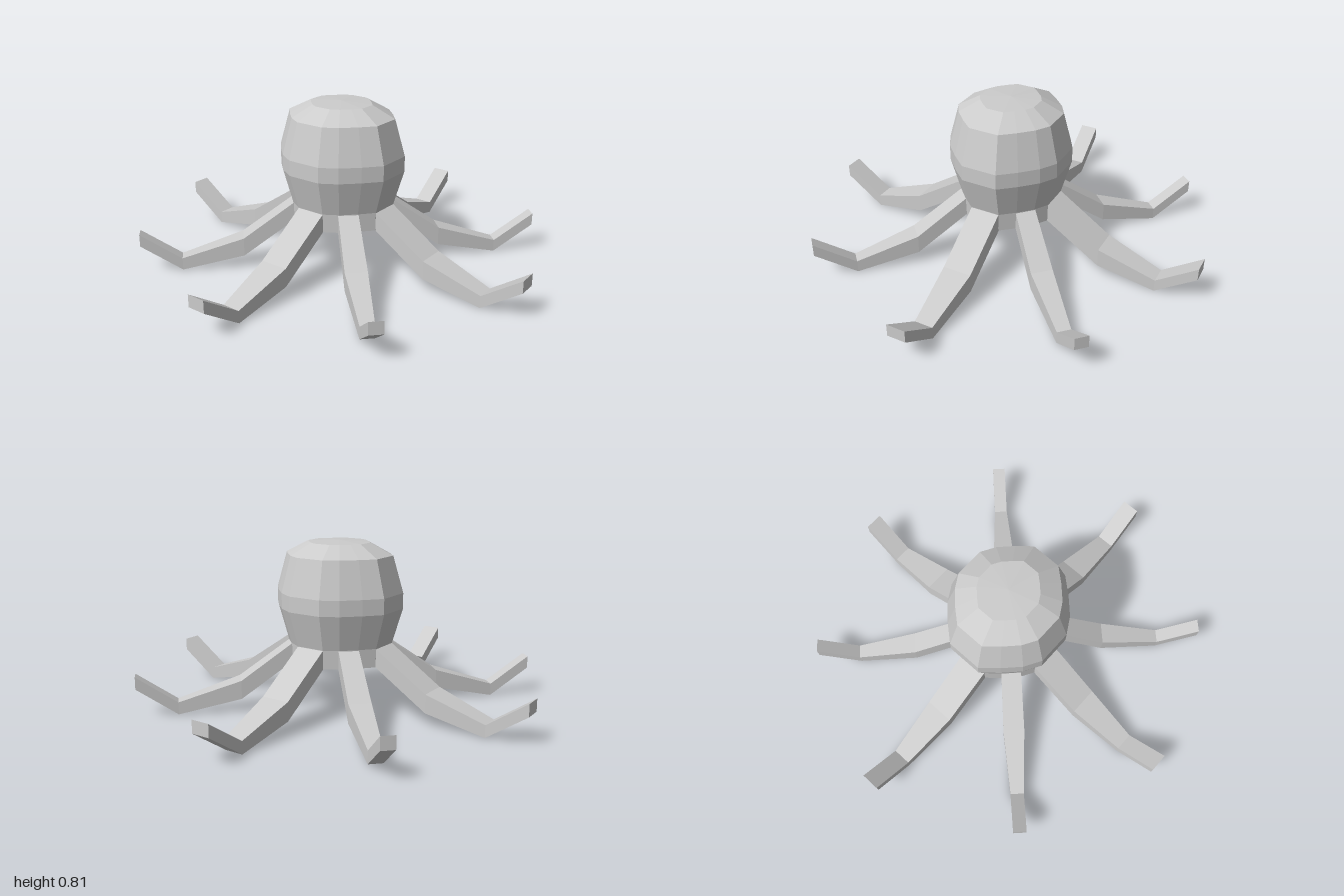
import * as THREE from 'three';

const material = new THREE.MeshStandardMaterial({ color: 0xcccccc, flatShading: true });

// Skin a stack of equal-length loops; each end closes on a centre point.
function loft(loops, startCentre, endCentre) {
  const n = loops[0].length;
  const pos = [...loops.flat(), startCentre, endCentre].flat();
  const start = loops.length * n, end = start + 1, last = start - n;
  const index = [];
  for (let j = 0; j < n; j++) {
    const k = (j + 1) % n;
    for (let i = 0; i < loops.length - 1; i++) {
      const a = i * n + j, b = i * n + k;
      index.push(a, b, b + n, a, b + n, a + n);
    }
    index.push(start, k, j, end, last + j, last + k);
  }
  const indexed = new THREE.BufferGeometry();
  indexed.setAttribute('position', new THREE.Float32BufferAttribute(pos, 3));
  indexed.setIndex(index);
  const geometry = indexed.toNonIndexed();
  geometry.computeVertexNormals();
  return geometry;
}

// Sixteen-sided head outline, from one quarter mirrored around (x, z).
function headOutline() {
  const quarter = [[0.087, 0.307], [0.165, 0.24], [0.238, 0.165], [0.285, 0.085]];
  const flipped = [...quarter].reverse();
  return [
    ...quarter,
    ...flipped.map(([x, z]) => [x, -z]),
    ...quarter.map(([x, z]) => [-x, -z]),
    ...flipped.map(([x, z]) => [-x, z]),
  ];
}

function makeHead() {
  const outline = headOutline();
  // [height, scale of the outline]
  const levels = [[0.24, 0.83], [0.33, 0.84], [0.5, 1], [0.575, 1], [0.75, 0.84], [0.807, 0.49]];
  const loops = levels.map(([y, s]) => outline.map(([x, z]) => [x * s, y, z * s]));
  const head = new THREE.Mesh(loft(loops, [0, 0.28, 0], [0, 0.815, 0]), material);
  head.name = 'head';
  return head;
}

// A tentacle points along +z; each section is [reach, top, bottom, half width].
function makeTentacle(sections) {
  const loops = sections.map(([r, top, bottom, w]) => [
    [w, bottom, r], [w, top, r], [-w, top, r], [-w, bottom, r],
  ]);
  const centre = ([r, top, bottom]) => [0, (top + bottom) / 2, r];
  return loft(loops, centre(sections[0]), centre(sections[sections.length - 1]));
}

export function createModel() {
  const model = new THREE.Group();
  model.name = 'octopus';
  model.add(makeHead());

  const frontBack = makeTentacle([
    [0.255, 0.33, 0.24, 0.072], [0.52, 0.155, 0.065, 0.07],
    [0.805, 0.06, 0, 0.045], [1, 0.195, 0.135, 0.045],
  ]);
  const side = makeTentacle([
    [0.237, 0.33, 0.24, 0.072], [0.505, 0.155, 0.065, 0.07],
    [0.785, 0.06, 0, 0.045], [0.98, 0.195, 0.135, 0.045],
  ]);
  const diagonal = makeTentacle([
    [0.235, 0.33, 0.24, 0.048], [0.485, 0.155, 0.065, 0.052],
    [0.785, 0.06, 0, 0.033], [0.98, 0.195, 0.135, 0.032],
  ]);

  // Eight tentacles around the head
  const names = ['front', 'frontLeft', 'left', 'backLeft', 'back', 'backRight', 'right', 'frontRight'];
  names.forEach((name, i) => {
    const geometry = i % 2 ? diagonal : i % 4 ? side : frontBack;
    const tentacle = new THREE.Mesh(geometry, material);
    tentacle.name = name + 'Tentacle';
    tentacle.rotation.y = i * Math.PI / 4;
    model.add(tentacle);
  });
  return model;
}
